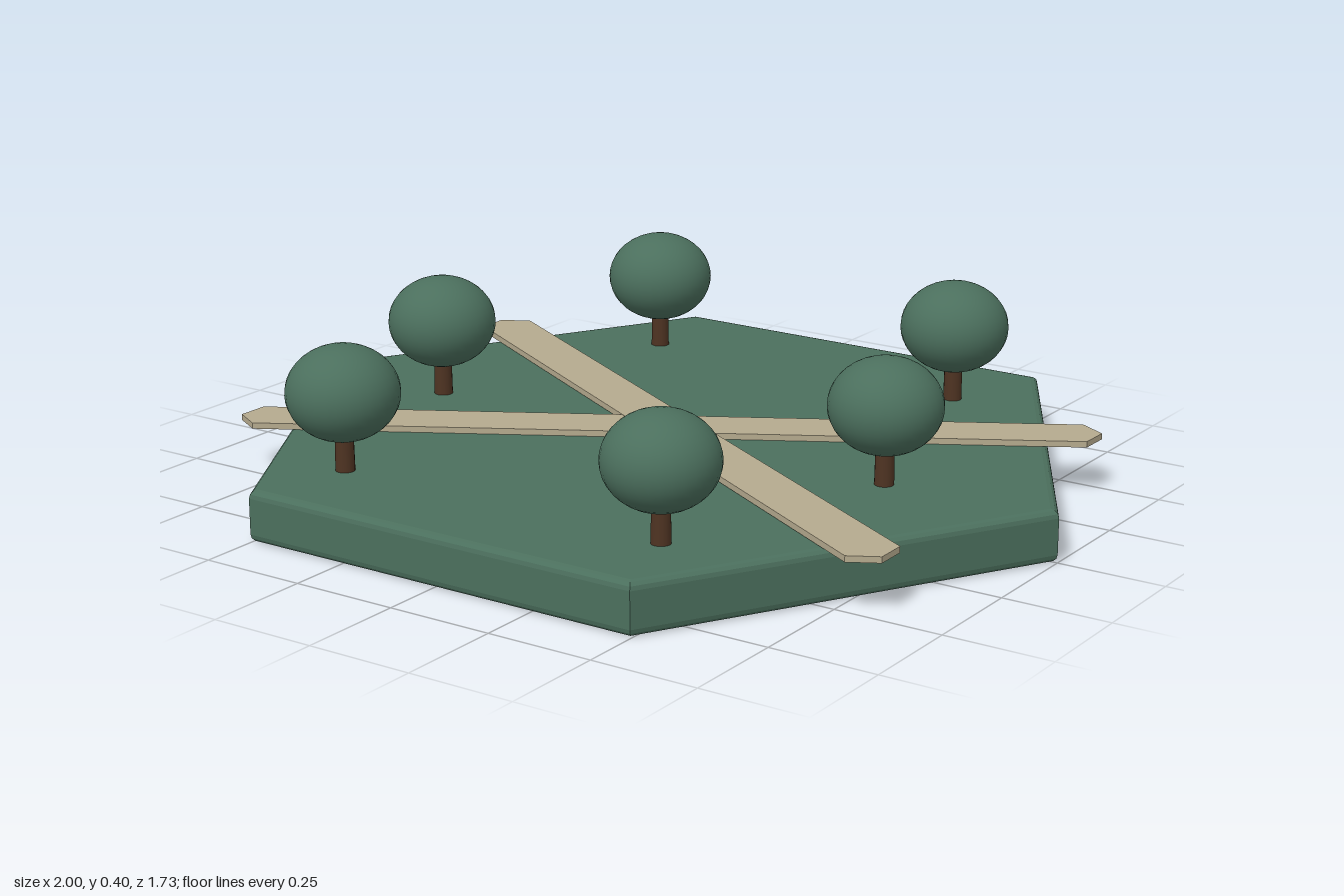
import * as THREE from 'three';

const green = new THREE.MeshStandardMaterial({ color: 0x4b6f5d });
green.name = 'leaf green';
const tan = new THREE.MeshStandardMaterial({ color: 0xb5aa8e });
tan.name = 'path tan';
const brown = new THREE.MeshStandardMaterial({ color: 0x4e3322 });
brown.name = 'bark brown';

const BASE_TOP = 0.118;

function part(name, geometry, material) {
  const mesh = new THREE.Mesh(geometry, material);
  mesh.name = name;
  return mesh;
}

// Outline extruded upwards from y = 0
function slab(points, height, bevel = 0) {
  const shape = new THREE.Shape(points.map(([x, y]) => new THREE.Vector2(x, y)));
  const geometry = new THREE.ExtrudeGeometry(shape, {
    depth: height - 2 * bevel,
    bevelEnabled: bevel > 0,
    bevelThickness: bevel,
    bevelSize: bevel,
    bevelOffset: -bevel,
    bevelSegments: 3,
  });
  return geometry.translate(0, 0, bevel).rotateX(-Math.PI / 2);
}

function createTree(x, z) {
  const tree = new THREE.Group();
  tree.name = 'tree';
  const trunk = part('trunk', new THREE.CylinderGeometry(0.02, 0.022, 0.12, 16), brown);
  trunk.position.y = BASE_TOP + 0.06;
  const crown = part('crown', new THREE.SphereGeometry(0.127, 32, 20), green);
  crown.scale.y = 0.85;
  crown.position.y = 0.296;
  tree.add(trunk, crown);
  tree.position.set(x, 0, z);
  return tree;
}

export function createModel() {
  const model = new THREE.Group();
  model.name = 'hexagonal park';

  // Hexagonal ground with softened edges
  const corners = Array.from({ length: 6 }, (_, i) => [
    Math.cos((i * Math.PI) / 3),
    Math.sin((i * Math.PI) / 3),
  ]);
  model.add(part('ground', slab(corners, BASE_TOP, 0.018), green));

  // Two crossing paths with blunt pointed ends that overhang the ground
  const outline = [
    [0.988, 0], [0.95, 0.064], [-0.95, 0.064],
    [-0.988, 0], [-0.95, -0.064], [0.95, -0.064],
  ];
  [1, -1].forEach((side, i) => {
    const path = part('path', slab(outline, 0.014), tan);
    path.position.y = BASE_TOP + 0.0005 + i * 0.001;
    path.rotation.y = (side * Math.PI) / 6;
    model.add(path);
  });

  // Three mirrored pairs of trees
  for (const [x, z] of [[0.42, -0.584], [0.607, 0.058], [0.42, 0.64]]) {
    for (const side of [1, -1]) model.add(createTree(side * x, z));
  }
  return model;
}
